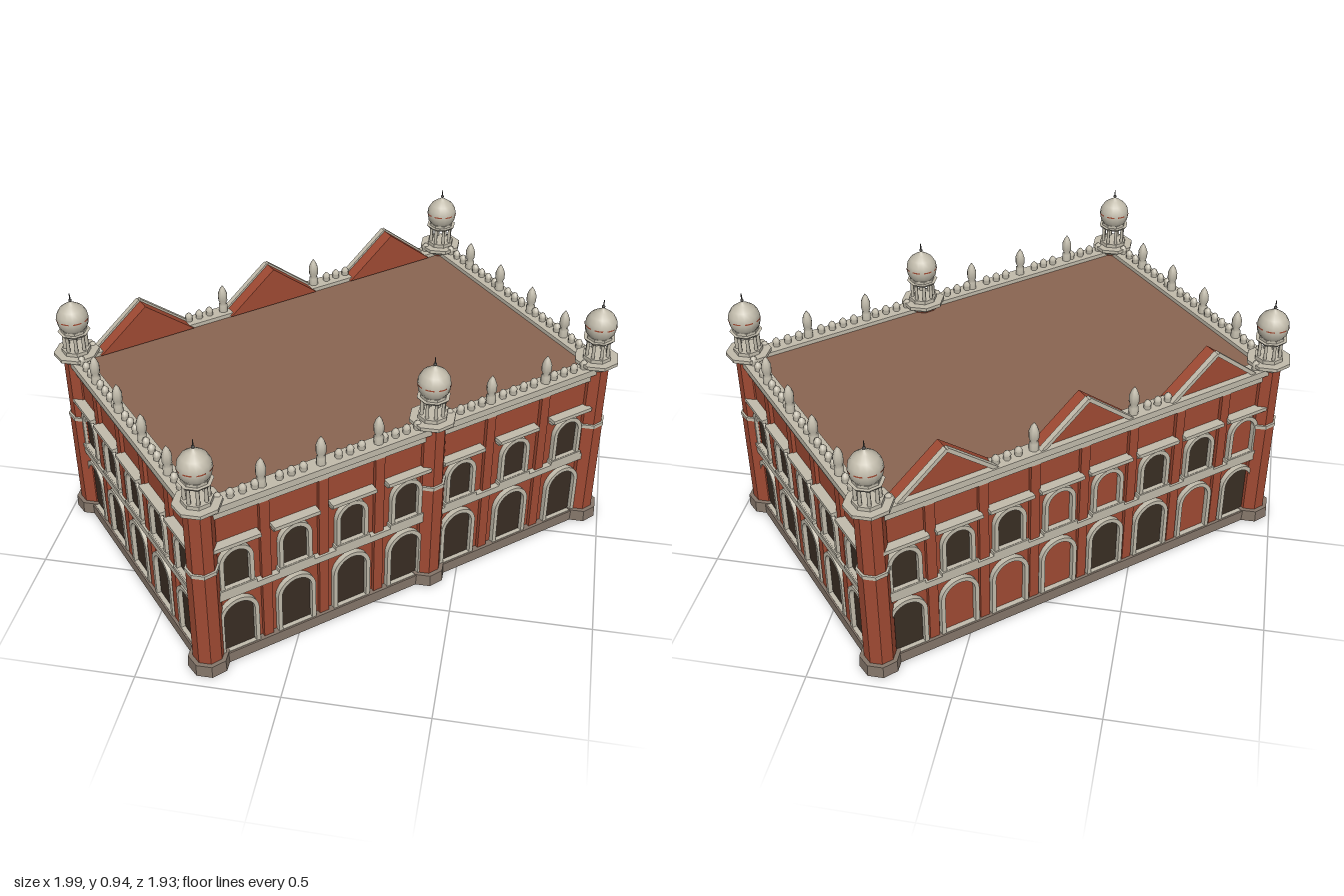
import * as THREE from 'three';

const mat = (name, color, side = THREE.FrontSide) => {
  const m = new THREE.MeshStandardMaterial({ color, side });
  m.name = name;
  return m;
};

// Arched outline: straight legs and a semicircular head
function arch(path, half, bottom, top) {
  path.moveTo(-half, bottom);
  path.lineTo(half, bottom);
  path.lineTo(half, top - half);
  path.absarc(0, top - half, half, 0, Math.PI, false);
  path.lineTo(-half, bottom);
  return path;
}

export function createModel() {
  const brick = mat('red brick', 0xa04a33);
  const stone = mat('pale stone', 0xc2bcac);
  const plinthStone = mat('brown stone', 0x85766a);
  const glass = mat('dark opening', 0x3a2e24);
  const roofing = mat('brown roofing', 0x8a6552);
  const metal = mat('dark metal', 0x4a4846);

  const model = new THREE.Group();
  model.name = 'palaceBlock';

  function add(parent, name, geometry, material, x = 0, y = 0, z = 0) {
    const mesh = new THREE.Mesh(geometry, material);
    mesh.name = name;
    mesh.position.set(x, y, z);
    parent.add(mesh);
    return mesh;
  }
  // Box given by its ranges in x, y and z
  function box(parent, name, material, x0, x1, y0, y1, z0, z1) {
    return add(parent, name, new THREE.BoxGeometry(x1 - x0, y1 - y0, z1 - z0), material,
      (x0 + x1) / 2, (y0 + y1) / 2, (z0 + z1) / 2);
  }
  const lathe = (pts, sides) =>
    new THREE.LatheGeometry(pts.map(([r, y]) => new THREE.Vector2(r, y)), sides);
  const octagon = (rTop, rBottom, h) =>
    new THREE.CylinderGeometry(rTop, rBottom, h, 8, 1, false, Math.PI / 8).toNonIndexed();

  // Window sizes: half width, bottom, top of the opening, and frame width
  const windowGeometry = ([half, bottom, top, frame]) => {
    const surround = arch(new THREE.Shape(), half + frame, bottom, top + frame);
    surround.holes.push(arch(new THREE.Path(), half, bottom + 0.002, top));
    return {
      frame: new THREE.ExtrudeGeometry(surround, { depth: 0.02, bevelEnabled: false, curveSegments: 12 }),
      pane: new THREE.ExtrudeGeometry(arch(new THREE.Shape(), half + 0.004, bottom, top + 0.004),
        { depth: 0.004, bevelEnabled: false, curveSegments: 12 }),
    };
  };
  const lower = windowGeometry([0.058, 0.042, 0.25, 0.015]);
  const upper = windowGeometry([0.047, 0.325, 0.478, 0.015]);

  const merlon = lathe([[0.013, 0], [0.013, 0.016], [0.015, 0.02], [0.01, 0.03], [0, 0.038]], 6);
  const pinnacle = lathe([[0.017, 0], [0.017, 0.03], [0.011, 0.034], [0.018, 0.05],
    [0.018, 0.075], [0.011, 0.095], [0, 0.112]], 8);

  // Gable: a brick prism with sloping stone copings on its outer face
  function gable(parent, x) {
    const w = 0.185, y0 = 0.675, h = 0.15;
    const shape = new THREE.Shape([[-w, 0], [w, 0], [0, h]].map(p => new THREE.Vector2(...p)));
    add(parent, 'gable', new THREE.ExtrudeGeometry(shape, { depth: 0.05, bevelEnabled: false }),
      brick, x, y0, -0.035);
    for (const s of [-1, 1]) {
      const coping = add(parent, 'gableCoping', new THREE.BoxGeometry(Math.hypot(w, h), 0.014, 0.02),
        stone, x + s * w / 2, y0 + h / 2, 0.022);
      coping.rotation.z = -s * Math.atan2(h, w);
    }
  }

  // One stretch of wall; local x runs along it and local z points outward
  function wall(name, p, q, bays, { blindLower = [], blindUpper = [], gables = [] } = {}) {
    const dx = q[0] - p[0], dz = q[1] - p[1], L = Math.hypot(dx, dz), bay = L / bays;
    const g = new THREE.Group();
    g.name = name;
    g.position.set(p[0], 0, p[1]);
    g.rotation.y = Math.atan2(-dz, dx);
    model.add(g);

    box(g, 'wall', brick, 0, L, 0.02, 0.67, -0.02, 0.01);
    box(g, 'plinth', plinthStone, 0, L, 0, 0.042, -0.025, 0.035);
    box(g, 'beltCourse', stone, 0, L, 0.284, 0.31, -0.023, 0.032);
    box(g, 'lowerCornice', stone, 0, L, 0.63, 0.66, -0.023, 0.026);
    box(g, 'upperCornice', stone, 0, L, 0.66, 0.685, -0.025, 0.038);

    for (let i = 0; i < bays; i++) {
      const x = (i + 0.5) * bay;
      for (const [win, blind] of [[lower, blindLower], [upper, blindUpper]]) {
        add(g, 'windowFrame', win.frame, stone, x, 0, 0.009);
        if (!blind.includes(i)) add(g, 'windowOpening', win.pane, glass, x, 0, 0.009);
      }
      box(g, 'windowSill', stone, x - 0.068, x + 0.068, 0.312, 0.326, 0, 0.034);
      box(g, 'hoodMoulding', stone, x - 0.085, x + 0.085, 0.508, 0.522, -0.022, 0.045);
      for (const s of [-1, 1])
        box(g, 'hoodBracket', stone, x + s * 0.075 - 0.007, x + s * 0.075 + 0.007, 0.495, 0.508, 0, 0.03);
    }

    // Pilasters and pinnacles stand between the bays
    const inGable = x => gables.some(f => Math.abs(x - f * L) < 0.185);
    const pins = [];
    for (let i = 1; i < bays; i++) {
      const x = i * bay;
      box(g, 'pilaster', brick, x - 0.018, x + 0.018, 0.04, 0.64, 0, 0.024);
      if (!inGable(x)) {
        pins.push(x);
        add(g, 'pinnacle', pinnacle, stone, x, 0.683, 0.008);
      }
    }
    const count = Math.round((L - 0.13) / 0.043);
    for (let i = 0; i <= count; i++) {
      const x = 0.065 + (L - 0.13) * i / count;
      if (!inGable(x) && pins.every(px => Math.abs(px - x) > 0.022))
        add(g, 'merlon', merlon, stone, x, 0.683, 0.008);
    }
    gables.forEach(f => gable(g, f * L));
  }

  // Corner positions as [x, z]
  const back = [0.27, -0.89], right = [0.92, -0.147], front = [-0.27, 0.89];
  const left = [-0.92, 0.147], middle = [0.388, 0.318];
  wall('leftFrontWall', left, front, 5);
  wall('mainWallLong', front, middle, 4);
  wall('mainWallShort', middle, right, 3);
  wall('rightBackWall', right, back, 5);
  wall('gabledWall', back, left, 8,
    { blindLower: [1, 2, 3, 6], blindUpper: [3, 4, 7], gables: [1 / 6, 0.5, 5 / 6] });

  // Flat roof slab between the walls
  const outline = new THREE.Shape([left, front, right, back].map(([x, z]) => new THREE.Vector2(x, -z)));
  const roof = add(model, 'roof', new THREE.ExtrudeGeometry(outline, { depth: 0.015, bevelEnabled: false }),
    roofing, 0, 0.655, 0);
  roof.rotation.x = -Math.PI / 2;

  // Octagonal tower with an open domed kiosk on top
  const dome = lathe([[0.04, 0.798], [0.053, 0.817], [0.057, 0.84], [0.054, 0.862],
    [0.042, 0.882], [0.022, 0.897], [0.008, 0.905], [0, 0.915]], 16);
  const dash = new THREE.CylinderGeometry(0.0578, 0.0578, 0.005, 3, 1, true, 0, Math.PI / 6);
  const stages = [
    // name, material, bottom, top, bottom radius, top radius
    ['towerPlinth', plinthStone, 0, 0.046, 0.073, 0.071],
    ['lowerShaft', brick, 0.046, 0.43, 0.055, 0.055],
    ['shaftBand', stone, 0.427, 0.441, 0.058, 0.058],
    ['upperShaft', brick, 0.441, 0.69, 0.05, 0.05],
    ['platformCorbel', stone, 0.675, 0.695, 0.053, 0.072],
    ['platform', stone, 0.695, 0.708, 0.081, 0.081],
    ['kioskBase', stone, 0.708, 0.722, 0.052, 0.052],
    ['kioskCornice', stone, 0.782, 0.792, 0.05, 0.058],
    ['domeBase', stone, 0.792, 0.802, 0.046, 0.046],
  ];
  for (const [x, z] of [back, right, front, left, middle]) {
    const t = new THREE.Group();
    t.name = 'tower';
    t.position.set(x, 0, z);
    model.add(t);
    for (const [name, material, y0, y1, r0, r1] of stages) {
      const geometry = octagon(r1, r0, y1 - y0);
      geometry.computeVertexNormals();
      add(t, name, geometry, material, 0, (y0 + y1) / 2, 0);
    }
    for (let i = 0; i < 8; i++) {
      const a = (i + 0.5) * Math.PI / 4;
      add(t, 'kioskColumn', new THREE.CylinderGeometry(0.006, 0.007, 0.07, 6), stone,
        0.039 * Math.sin(a), 0.75, 0.039 * Math.cos(a));
      add(t, 'domeDash', dash, brick, 0, 0.846, 0).rotation.y = a;
    }
    add(t, 'dome', dome, stone);
    add(t, 'finial', new THREE.CylinderGeometry(0.0015, 0.004, 0.04, 6), metal, 0, 0.922, 0);
    add(t, 'finialBall', new THREE.SphereGeometry(0.006, 8, 6), metal, 0, 0.915, 0);
  }
  return model;
}
